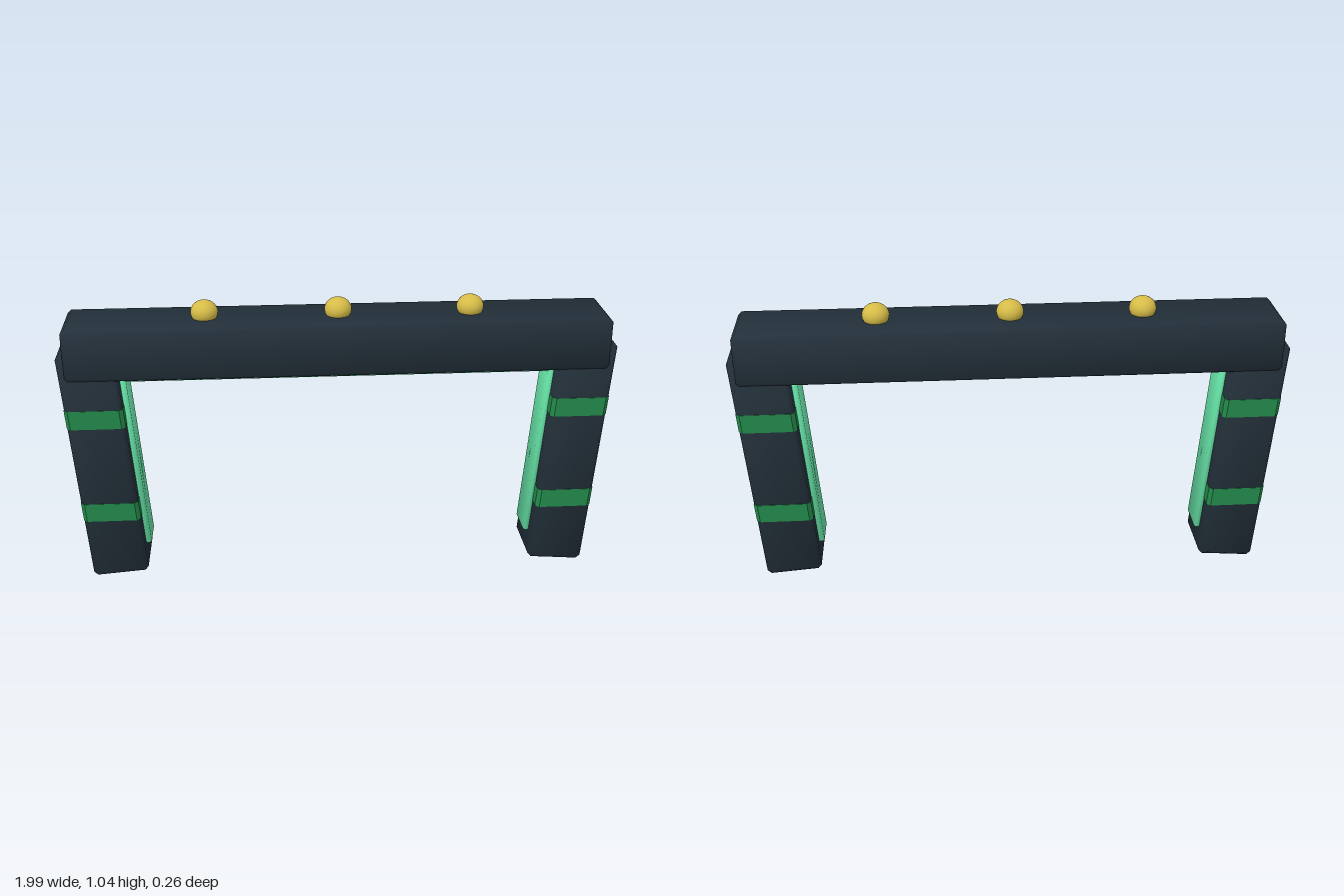
import * as THREE from 'three';
import { mergeVertices } from 'three/addons/utils/BufferGeometryUtils.js';
import { ConvexGeometry } from 'three/addons/geometries/ConvexGeometry.js';

const material = (name, color) => Object.assign(new THREE.MeshStandardMaterial({ color }), { name });

// Box with a single-step bevel and normals blended softly across the edges
function bevelBox(w, h, d, r) {
  const half = [w / 2, h / 2, d / 2];
  const points = [];
  for (let axis = 0; axis < 3; axis++)
    for (const sx of [-1, 1]) for (const sy of [-1, 1]) for (const sz of [-1, 1]) {
      const p = [sx, sy, sz].map((s, i) => s * (half[i] - (i === axis ? 0 : r)));
      points.push(new THREE.Vector3(...p));
    }
  let geo = new ConvexGeometry(points);
  geo.deleteAttribute('normal');
  geo = mergeVertices(geo, 1e-5);
  geo.computeVertexNormals();
  const pos = geo.attributes.position, nor = geo.attributes.normal;
  for (let i = 0; i < pos.count; i++) {
    const p = [pos.getX(i), pos.getY(i), pos.getZ(i)];
    const n = p.map((v, k) => Math.sign(v) * (Math.abs(v) > half[k] - r / 2 ? 1 : 0.38));
    const v = new THREE.Vector3(...n).normalize();
    nor.setXYZ(i, v.x, v.y, v.z);
  }
  return geo;
}

// Level band with cut corners, sheared to follow the leaning leg
function bandGeometry(w, d, h, r, shear) {
  const a = w / 2, b = d / 2;
  const outline = [[a, -b + r], [a, b - r], [a - r, b], [-a + r, b], [-a, b - r], [-a, -b + r], [-a + r, -b], [a - r, -b]];
  const shape = new THREE.Shape(outline.map(([x, y]) => new THREE.Vector2(x, y)));
  const geo = new THREE.ExtrudeGeometry(shape, { depth: h, bevelEnabled: false });
  geo.translate(0, 0, -h / 2).rotateX(-Math.PI / 2);
  const pos = geo.attributes.position;
  for (let i = 0; i < pos.count; i++) pos.setX(i, pos.getX(i) + shear * pos.getY(i));
  geo.computeVertexNormals();
  return geo;
}

export function createModel() {
  const model = new THREE.Group();
  model.name = 'archGate';
  const frame = material('darkSlate', 0x23303a);
  const green = material('bandGreen', 0x23894a);
  const mint = material('glowMint', 0x66e2a6);
  const gold = material('gold', 0xd6bc48);

  const add = (parent, name, geo, mat, x = 0, y = 0, z = 0) => {
    const mesh = new THREE.Mesh(geo, mat);
    mesh.name = name;
    mesh.position.set(x, y, z);
    parent.add(mesh);
    return mesh;
  };

  // Crossbeam with the light strip beneath it
  add(model, 'crossbeam', bevelBox(1.94, 0.19, 0.258, 0.013), frame, 0, 0.885);
  add(model, 'beamLightStrip', bevelBox(1.55, 0.03, 0.13, 0.007), mint, 0, 0.779);

  // Leaning legs, one turned half round to mirror the other
  const lean = 0.08, legX = 0.86, legY = 0.45;
  for (const side of ['left', 'right']) {
    const half = new THREE.Group();
    half.name = side + 'Side';
    if (side === 'right') half.rotation.y = Math.PI;
    model.add(half);

    const leg = new THREE.Group();
    leg.name = side + 'Leg';
    leg.position.set(legX, legY, 0);
    leg.rotation.z = -lean;
    half.add(leg);
    add(leg, 'legPost', bevelBox(0.205, 0.886, 0.236, 0.014), frame);
    add(leg, 'legLightStrip', bevelBox(0.025, 0.7, 0.13, 0.007), mint, -0.111, -0.004);

    // Painted bands stay level in spite of the lean
    for (const y of [0.272, 0.643])
      add(half, 'legBand', bandGeometry(0.209, 0.239, 0.071, 0.014, Math.tan(lean)), green,
        legX + (y - legY) * Math.tan(lean), y);
  }

  // Gold knobs along the top
  for (const x of [-0.475, 0, 0.475])
    add(model, 'knob', new THREE.SphereGeometry(0.049, 24, 16), gold, x, 1.0).scale.y = 0.88;

  return model;
}
